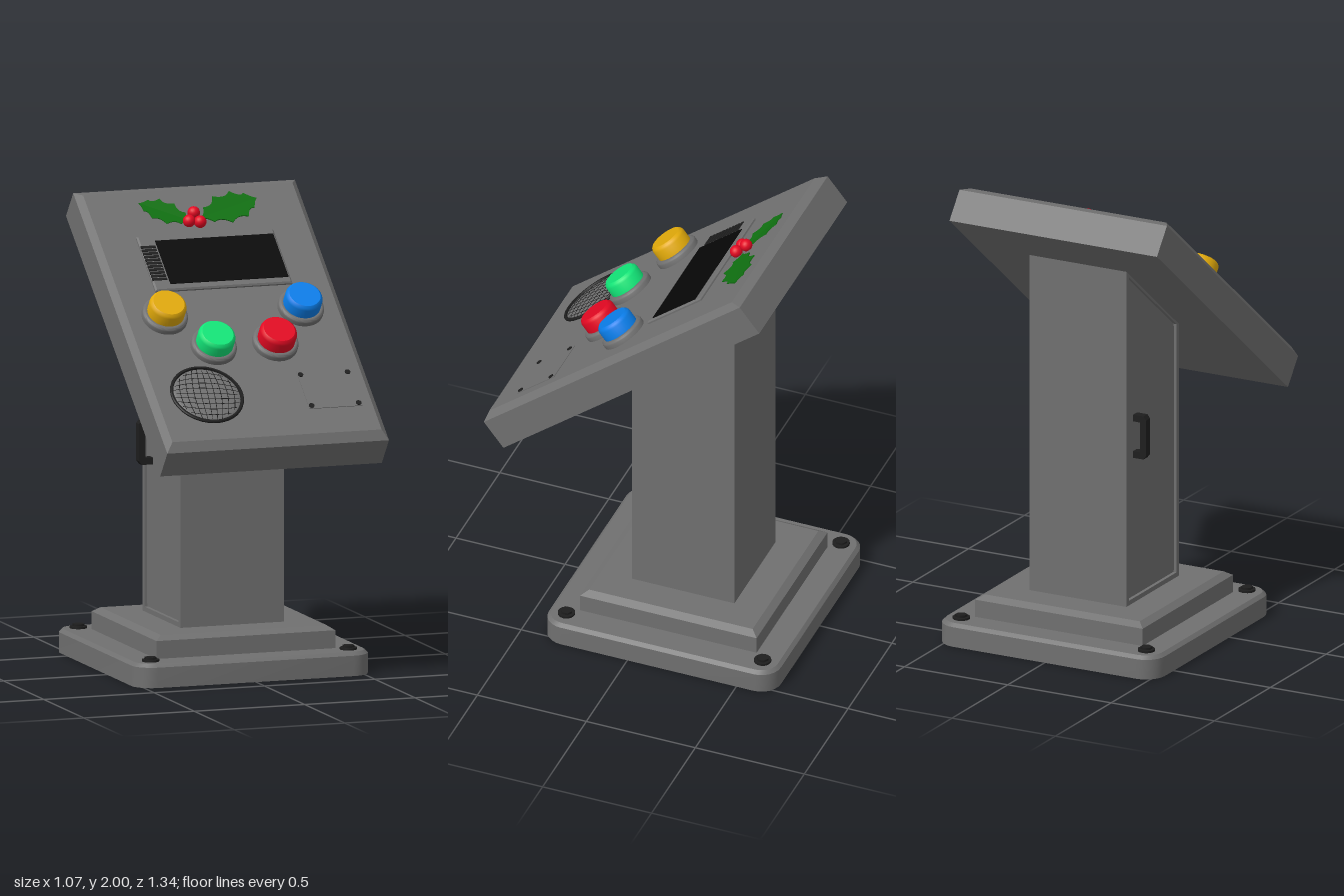
import * as THREE from 'three';
import { toCreasedNormals } from 'three/addons/utils/BufferGeometryUtils.js';

const paint = (color) => new THREE.MeshStandardMaterial({ color });
const GREY = paint(0x707070), DARK = paint(0x1e1e1e), BLACK = paint(0x070707);
const BASE_Z = -0.137;

function add(parent, name, geometry, material = GREY, x = 0, y = 0, z = 0) {
  const mesh = new THREE.Mesh(geometry, material);
  mesh.name = name;
  mesh.position.set(x, y, z);
  parent.add(mesh);
  return mesh;
}

// Closed solid through (rounded) rectangles [halfX, halfY, z]
function loft(sections, radius = 0, steps = 6) {
  const pos = [], index = [];
  let n = 0;
  for (const [hx, hy, z] of sections) {
    const r = Math.max(0, radius - (sections[0][0] - hx));
    n = 0;
    for (let q = 0; q < 4; q++) {
      const sx = q === 0 || q === 3 ? 1 : -1, sy = q < 2 ? 1 : -1;
      const count = radius ? steps : 0;
      for (let s = 0; s <= count; s++, n++) {
        const a = (q + (count ? s / count : 0)) * Math.PI / 2;
        pos.push(sx * (hx - r) + r * Math.cos(a), sy * (hy - r) + r * Math.sin(a), z);
      }
    }
  }
  const last = (sections.length - 1) * n;
  for (let i = 0; i < last; i += n) {
    for (let j = 0; j < n; j++) {
      const a = i + j, b = i + (j + 1) % n;
      index.push(a, b, b + n, a, b + n, a + n);
    }
  }
  for (let j = 1; j < n - 1; j++) index.push(0, j + 1, j, last, last + j, last + j + 1);
  const g = new THREE.BufferGeometry();
  g.setAttribute('position', new THREE.Float32BufferAttribute(pos, 3));
  g.setIndex(index);
  return toCreasedNormals(g, 0.4);
}

// Lathe profile turned so that its axis is +z
const turned = (points, sides = 40) => toCreasedNormals(
  new THREE.LatheGeometry(points.map(([r, h]) => new THREE.Vector2(r, h)), sides).rotateX(Math.PI / 2), 0.6);

function buildBase(root) {
  const base = new THREE.Group();
  base.name = 'base';
  base.position.z = BASE_Z;
  root.add(base);
  const flat = (sections, r) => loft(sections, r).rotateX(-Math.PI / 2);
  add(base, 'footPlate', flat([[0.533, 0.533, 0], [0.533, 0.533, 0.088], [0.518, 0.518, 0.103]], 0.09));
  add(base, 'plinth', flat([[0.405, 0.405, 0.1], [0.405, 0.405, 0.18], [0.375, 0.375, 0.2]]));
  for (const x of [-0.448, 0.448]) for (const z of [-0.45, 0.45]) {
    add(base, 'washer', new THREE.CylinderGeometry(0.037, 0.037, 0.01, 20), DARK, x, 0.107, z);
    add(base, 'boltHead', new THREE.CylinderGeometry(0.026, 0.026, 0.012, 6), DARK, x, 0.116, z);
  }
}

function buildColumn(root) {
  const column = new THREE.Group();
  column.name = 'column';
  root.add(column);
  // Side outline (z, y) with a sloped top that follows the console
  const outline = (T, m) => {
    const z0 = -0.372 + m, z1 = 0.098 - m, top = (z) => 1.433 - 0.7954 * z - 1.6 * m;
    return new T([[z0, 0.19 + 1.4 * m], [z1, 0.19 + 1.4 * m], [z1, top(z1)], [z0, top(z0)]]
      .map(([a, b]) => new THREE.Vector2(a, b)));
  };
  const slab = (shape, x, depth) => new THREE.ExtrudeGeometry(shape, { depth, bevelEnabled: false })
    .rotateY(-Math.PI / 2).translate(x, 0, 0);
  add(column, 'post', slab(outline(THREE.Shape, 0), 0.235, 0.455));
  const frame = outline(THREE.Shape, 0);
  frame.holes.push(outline(THREE.Path, 0.022));
  add(column, 'doorFrame', slab(frame, -0.22, 0.015));
  add(column, 'door', slab(outline(THREE.Shape, 0.032), -0.22, 0.008));
  // Door handle: a flat chamfered bracket
  const bracket = new THREE.Shape([[-0.22, 0.848], [-0.278, 0.848], [-0.291, 0.865], [-0.291, 1.025],
    [-0.278, 1.042], [-0.22, 1.042], [-0.22, 1.012], [-0.262, 1.012], [-0.262, 0.878], [-0.22, 0.878]]
    .map(([x, y]) => new THREE.Vector2(x, y)));
  add(column, 'doorHandle', new THREE.ExtrudeGeometry(bracket, { depth: 0.036, bevelEnabled: false }),
    DARK, 0, 0, -0.3);
}

function buildButtons(panel) {
  const ring = turned([[0.1, 0], [0.1, 0.018], [0.098, 0.024], [0.093, 0.029], [0.086, 0.031], [0.078, 0.03], [0.078, 0.01]]);
  const cap = turned([[0.081, 0.02], [0.081, 0.076], [0.077, 0.086], [0.068, 0.094], [0, 0.094]]);
  const list = [['yellow', 0xe2aa0a, -0.31, -0.004], ['green', 0x12e678, -0.142, -0.192],
    ['red', 0xe40822, 0.137, -0.192], ['blue', 0x0a7eea, 0.306, -0.004]];
  for (const [name, color, x, y] of list) {
    add(panel, name + 'ButtonRing', ring, GREY, x, y, 0.165);
    add(panel, name + 'Button', cap, paint(color), x, y, 0.165);
  }
}

function buildSpeaker(panel) {
  const speaker = new THREE.Group();
  speaker.name = 'speaker';
  speaker.position.set(-0.246, -0.458, 0.165);
  speaker.rotation.z = -0.1;
  panel.add(speaker);
  add(speaker, 'speakerRim', turned([[0.161, 0], [0.161, 0.006], [0.157, 0.01], [0.149, 0.01], [0.146, 0]]), DARK);
  const R = 0.148, H = 0.013;
  add(speaker, 'speakerDome', new THREE.SphereGeometry(R, 36, 8, 0, Math.PI * 2, 0, Math.PI / 2)
    .rotateX(Math.PI / 2).scale(1, 1, H / R));
  // Thin crossing mesh lines that bow over the dome
  for (let k = -4; k <= 4; k++) {
    for (const across of [false, true]) {
      const pts = [];
      for (let i = 0; i <= 12; i++) {
        const t = (i / 6 - 1) * Math.sqrt(1 - (k / 5) ** 2);
        const u = t * R, w = k / 5 * R * (1 - 0.3 * t * t);
        const z = H * Math.sqrt(Math.max(0, 1 - (u * u + w * w) / (R * R)));
        pts.push(across ? new THREE.Vector3(u, w, z) : new THREE.Vector3(w, u, z));
      }
      add(speaker, 'speakerMesh', new THREE.TubeGeometry(new THREE.CatmullRomCurve3(pts), 20, 0.0016, 5), DARK);
    }
  }
}

function buildHolly(panel) {
  const leafGreen = paint(0x0f7010), berryRed = paint(0xe40822);
  leafGreen.side = THREE.DoubleSide;
  // Half of a spiny leaf, folded up slightly from the midrib
  const half = new THREE.Shape();
  half.moveTo(0, 0);
  let [px, py] = [0, 0];
  for (const [x, y] of [[0.16, 0.15], [0.4, 0.27], [0.68, 0.26], [0.86, 0.15], [1, 0]]) {
    half.quadraticCurveTo((px + x) / 2 + 0.02, Math.min(py, y) * 0.5 + 0.02, x, y);
    [px, py] = [x, y];
  }
  const geo = new THREE.ExtrudeGeometry(half, { depth: 0.015, bevelEnabled: false, curveSegments: 5 });
  const p = geo.attributes.position;
  for (let i = 0; i < p.count; i++) p.setZ(i, p.getZ(i) + 0.05 * Math.abs(p.getY(i)));
  geo.computeVertexNormals();
  for (const [x, y, tx, ty] of [[-0.036, 0.525, -0.243, 0.645], [0.005, 0.54, 0.289, 0.635]]) {
    const leaf = new THREE.Group();
    leaf.name = 'hollyLeaf';
    leaf.position.set(x, y, 0.166);
    leaf.rotation.z = Math.atan2(ty - y, tx - x);
    leaf.scale.setScalar(Math.hypot(tx - x, ty - y));
    add(leaf, 'leafHalf', geo, leafGreen);
    add(leaf, 'leafHalf', geo, leafGreen).scale.y = -1;
    panel.add(leaf);
  }
  for (const [x, y, z] of [[-0.022, 0.558, 0.187], [-0.054, 0.516, 0.183], [-0.007, 0.506, 0.185]]) {
    add(panel, 'hollyBerry', new THREE.SphereGeometry(0.027, 20, 14), berryRed, x, y, z);
  }
}

function buildConsole(root) {
  // Tilted group: local y runs up the slope, local z points out of the face
  const panel = new THREE.Group();
  panel.name = 'console';
  panel.position.set(0, 1.42, -0.0025);
  panel.rotation.x = -THREE.MathUtils.degToRad(51.4);
  root.add(panel);
  add(panel, 'consoleBody', loft([[0.502, 0.751, -0.006], [0.502, 0.751, 0.138], [0.474, 0.711, 0.165]]));

  // Display with its vent
  add(panel, 'displayFrame', loft([[0.31, 0.156, 0.16], [0.31, 0.156, 0.172], [0.303, 0.149, 0.178]]), GREY, 0, 0.294);
  add(panel, 'displayScreen', new THREE.BoxGeometry(0.535, 0.248, 0.012), BLACK, 0.032, 0.294, 0.175);
  for (let i = 0; i < 11; i++) {
    add(panel, 'ventSlat', new THREE.BoxGeometry(0.066, 0.0125, 0.008), DARK, -0.275, 0.201 + i * 0.0184, 0.177);
  }
  // Service cover with four screws
  add(panel, 'serviceCover', new THREE.BoxGeometry(0.24, 0.216, 0.008), GREY, 0.307, -0.463, 0.164);
  for (const x of [0.2, 0.413]) for (const y of [-0.378, -0.556]) {
    add(panel, 'coverScrew', new THREE.CylinderGeometry(0.012, 0.012, 0.008, 14).rotateX(Math.PI / 2), DARK, x, y, 0.168);
  }
  buildButtons(panel);
  buildSpeaker(panel);
  buildHolly(panel);
}

export function createModel() {
  const root = new THREE.Group();
  root.name = 'controlPedestal';
  buildBase(root);
  buildColumn(root);
  buildConsole(root);
  return root;
}
